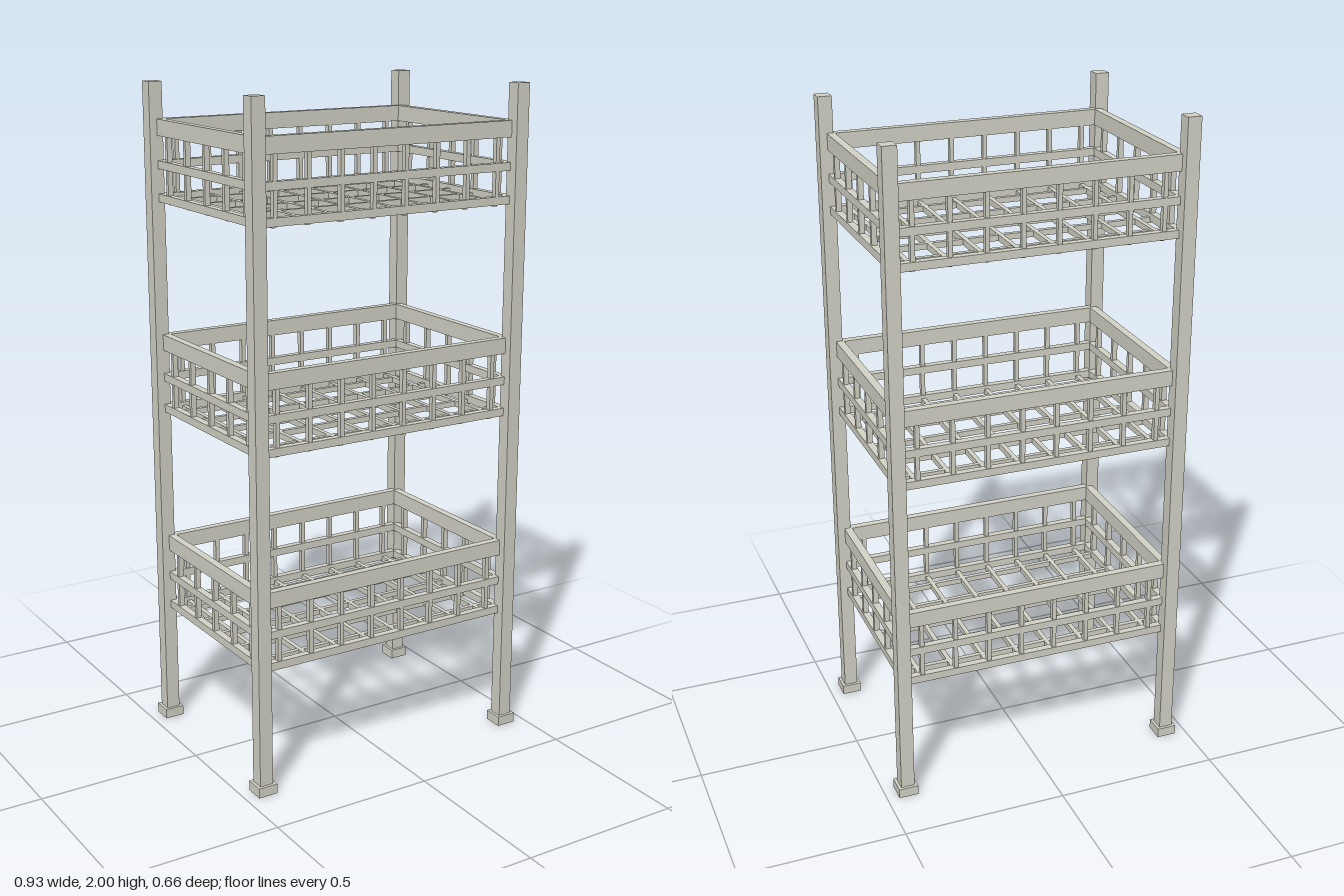
import * as THREE from 'three';

export function createModel() {
  const model = new THREE.Group();
  model.name = 'basketShelf';
  const metal = new THREE.MeshStandardMaterial({ color: 0xd4d4c8 });
  metal.name = 'paleGreyMetal';

  function bar(parent, name, size, pos) {
    const mesh = new THREE.Mesh(new THREE.BoxGeometry(...size), metal);
    mesh.name = name;
    mesh.position.set(...pos);
    parent.add(mesh);
  }

  // Corner posts on square feet
  const postX = 0.434, postZ = 0.302;
  for (const sx of [-1, 1]) {
    for (const sz of [-1, 1]) {
      bar(model, 'post', [0.042, 1.97, 0.042], [sx * postX, 1.015, sz * postZ]);
      bar(model, 'foot', [0.06, 0.03, 0.06], [sx * postX, 0.015, sz * postZ]);
    }
  }

  // Basket, measured downward from the top of its rim
  const sideX = 0.421, sideZ = 0.2875;
  const barXs = [-3.5, -2.5, -1.5, -0.5, 0.5, 1.5, 2.5, 3.5].map(i => i * 0.1055);
  const barZs = [-2, -1, 0, 1, 2].map(i => i * 0.115);
  const rails = [
    ['rim', 0.048, 0.024, -0.024],
    ['middleRail', 0.024, 0.022, -0.132],
    ['lowerRail', 0.024, 0.022, -0.229],
  ];

  function basket(top) {
    const group = new THREE.Group();
    group.name = 'basket';
    group.position.y = top;
    for (const s of [-1, 1]) {
      // Horizontal rails
      for (const [name, height, depth, y] of rails) {
        bar(group, name, [0.864, height, depth], [0, y, s * sideZ]);
        bar(group, name, [depth, height, 2 * sideZ - depth], [s * sideX, y, 0]);
      }
      // Upright wires
      for (const x of barXs) bar(group, 'upright', [0.013, 0.19, 0.016], [x, -0.135, s * sideZ]);
      for (const z of barZs) bar(group, 'upright', [0.016, 0.19, 0.013], [s * sideX, -0.135, z]);
    }
    // Floor grid
    for (const x of barXs) bar(group, 'floorBar', [0.014, 0.018, 2 * sideZ], [x, -0.237, 0]);
    for (const z of barZs) bar(group, 'floorBar', [2 * sideX, 0.017, 0.014], [0, -0.237, z]);
    model.add(group);
  }
  for (let i = 0; i < 3; i++) basket(0.613 + i * 0.64);

  return model;
}
